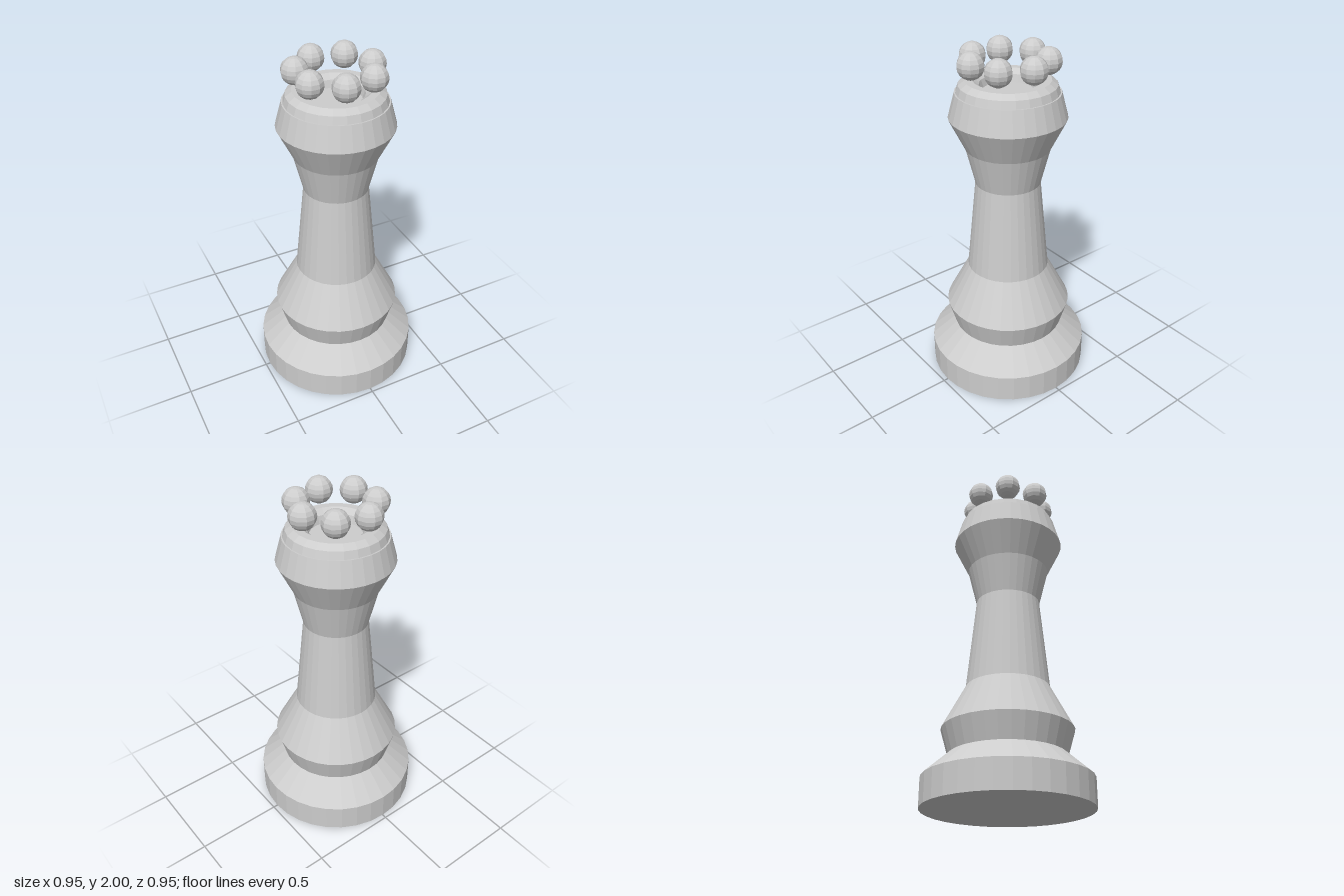
import * as THREE from 'three';

export function createModel() {
  const group = new THREE.Group();
  group.name = 'chessQueen';

  const stone = new THREE.MeshStandardMaterial({ color: 0xcccccc, flatShading: true });
  stone.name = 'light grey';

  function add(name, geometry, x = 0, y = 0, z = 0) {
    const mesh = new THREE.Mesh(geometry, stone);
    mesh.name = name;
    mesh.position.set(x, y, z);
    group.add(mesh);
    return mesh;
  }

  // Turned body: foot, collar, stem and flared head, closed at both ends
  const profile = [
    [0, 0], [0.473, 0], [0.473, 0.163], [0.33, 0.29], [0.372, 0.435],
    [0.24, 0.685], [0.187, 1.225], [0.24, 1.44], [0.328, 1.62],
    [0.29, 1.76], [0, 1.76],
  ].map(([r, y]) => new THREE.Vector2(r, y));
  add('body', new THREE.LatheGeometry(profile, 32));

  // Rounded rim half sunk into the head
  const crownRadius = 0.213;
  const rim = new THREE.TorusGeometry(crownRadius, 0.07, 10, 24);
  rim.rotateX(-Math.PI / 2);
  add('rim', rim, 0, 1.76, 0);

  // Ring of seven crown beads
  const bead = new THREE.SphereGeometry(0.075, 10, 10);
  const beadCount = 7;
  for (let i = 0; i < beadCount; i++) {
    const a = (i / beadCount) * Math.PI * 2;
    add(`crownBead${i + 1}`, bead, Math.cos(a) * crownRadius, 1.925, Math.sin(a) * crownRadius);
  }

  return group;
}
